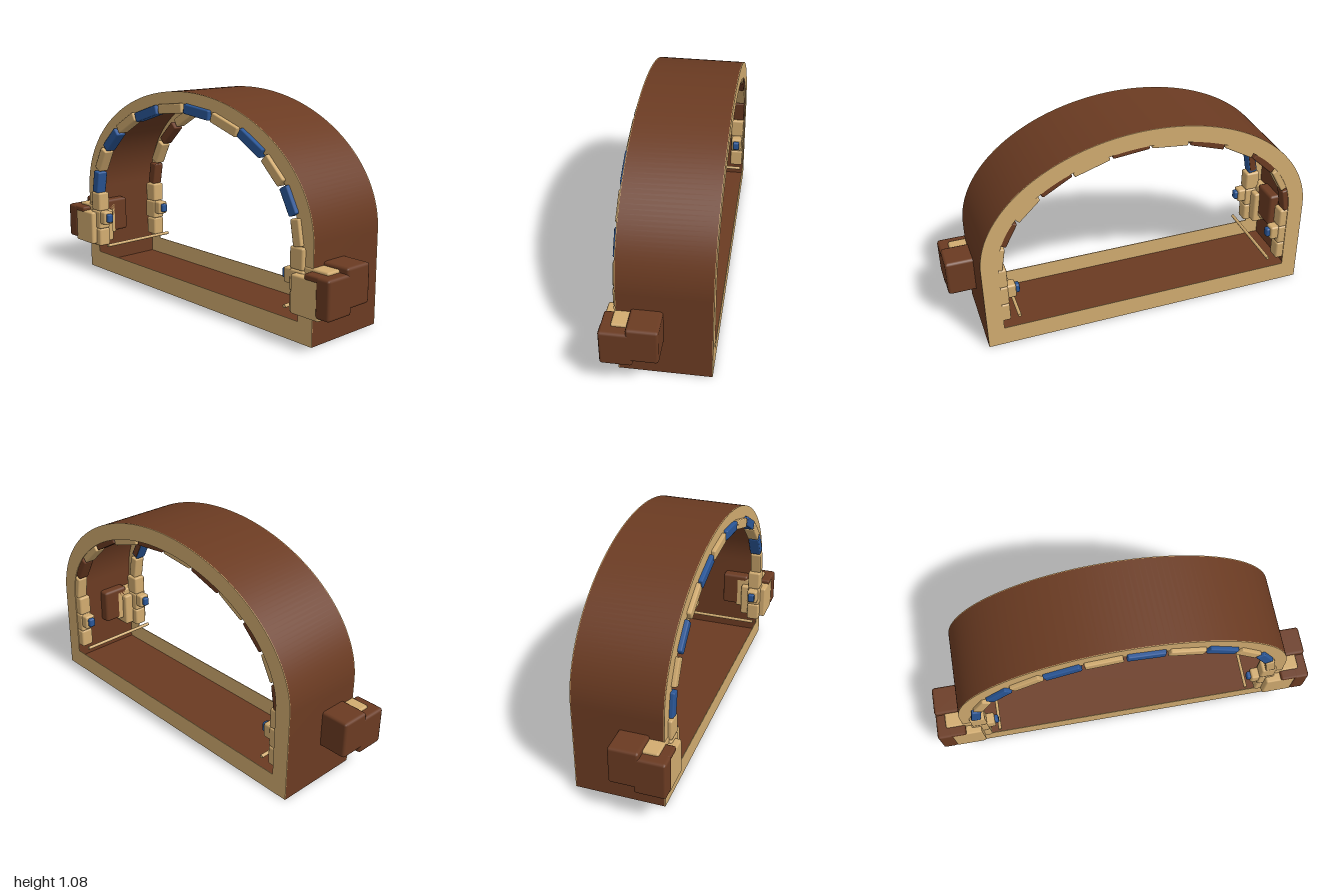
import * as THREE from 'three';
import { toCreasedNormals } from 'three/addons/utils/BufferGeometryUtils.js';
import { RoundedBoxGeometry } from 'three/addons/geometries/RoundedBoxGeometry.js';

const mat = (name, color) => {
  const m = new THREE.MeshStandardMaterial({ color });
  m.name = name;
  return m;
};

// Arched outline: flat base, straight sides and a half-ellipse top
const SPRING = 0.465;
function archPath(Type, inset, base) {
  const rx = 0.86 - inset, ry = 0.61 - inset, p = new Type();
  p.moveTo(-rx, base);
  p.lineTo(rx, base);
  p.lineTo(rx, SPRING);
  p.absellipse(0, SPRING, rx, ry, 0, Math.PI, false, 0);
  p.lineTo(-rx, base);
  return p;
}

function archBand(inset, base, depth) {
  const shape = archPath(THREE.Shape, 0, 0);
  shape.holes.push(archPath(THREE.Path, inset, base));
  const g = new THREE.ExtrudeGeometry(shape, { depth, bevelEnabled: false, curveSegments: 48 });
  return toCreasedNormals(g, 0.5);
}

export function createModel() {
  const model = new THREE.Group();
  model.name = 'archway';
  const tan = mat('sandstone', 0xd2ac70);
  const brown = mat('brown', 0x6b3b22);
  const blue = mat('blue', 0x2a5798);

  const add = (name, geo, m, x, y, z, parent = model) => {
    const mesh = new THREE.Mesh(geo, m);
    mesh.name = name;
    mesh.position.set(x, y, z);
    parent.add(mesh);
    return mesh;
  };
  // Softened block given by its two corners
  const block = (name, m, [x0, x1], [y0, y1], [z0, z1], parent, r = 0.01) =>
    add(name, new RoundedBoxGeometry(x1 - x0, y1 - y0, z1 - z0, 1, r), m,
      (x0 + x1) / 2, (y0 + y1) / 2, (z0 + z1) / 2, parent);

  // Hollow shell with a flat rim at each end
  add('shell', archBand(0.008, 0.008, 0.442), brown, 0, 0, -0.246);
  add('frontRim', archBand(0.085, 0.1, 0.004), tan, 0, 0, 0.196);
  add('backRim', archBand(0.085, 0.1, 0.004), tan, 0, 0, -0.25);

  // Arch stones on the right half, mirrored: x, y, tilt in degrees, length
  const stones = [
    [0.1, 0.985, -6, 0.185], [0.297, 0.943, -18, 0.185], [0.473, 0.877, -30, 0.17],
    [0.617, 0.77, -44, 0.15], [0.717, 0.647, -62, 0.135], [0.768, 0.512, -80, 0.125],
  ];
  for (const front of [true, false]) {
    const row = new THREE.Group();
    row.name = front ? 'frontStones' : 'backStones';
    model.add(row);
    const z = front ? 0.19 : -0.215;
    for (const side of [1, -1]) {
      stones.forEach(([x, y, tilt, len], i) => {
        const accent = (i % 2 === 0) === (side === 1);
        const geo = new RoundedBoxGeometry(len, 0.05, 0.06, 1, 0.007);
        const s = add('archStone', geo, accent ? (front ? blue : brown) : tan, side * x, y, z, row);
        s.rotation.z = side * THREE.MathUtils.degToRad(tilt);
        // Brown backing behind the blue stones
        if (accent && front) {
          add('stoneBacking', new THREE.BoxGeometry(len - 0.03, 0.034, 0.004), brown, 0, 0, -0.031, s);
        }
      });
    }
  }

  // Each side: pillars, gem knobs, sill rod and outer bracket
  for (const side of [1, -1]) {
    const half = new THREE.Group();
    half.name = side > 0 ? 'leftSide' : 'rightSide';
    model.add(half);
    const sx = (a, b) => (side > 0 ? [a, b] : [-b, -a]);

    for (const front of [true, false]) {
      const z = front ? [0.15, 0.22] : [-0.245, -0.175];
      const mid = (z[0] + z[1]) / 2;
      block('pillarTop', tan, sx(0.735, 0.815), [0.345, 0.45], z, half);
      block('pillarMiddle', tan, sx(0.735, 0.82), [0.24, 0.345], z, half);
      block('pillarFoot', tan, sx(0.735, 0.81), [0.14, 0.24], z, half);
      block('knob', tan, sx(0.695, 0.745), [0.27, 0.345], [mid - 0.03, mid + 0.03], half);
      block('gem', blue, sx(0.675, 0.705), [0.285, 0.333], [mid - 0.018, mid + 0.018], half, 0.008);
    }

    const rod = add('sillRod', new THREE.CylinderGeometry(0.009, 0.009, 0.44, 8), tan, side * 0.69, 0.15, -0.02, half);
    rod.rotation.x = Math.PI / 2;

    block('bracketCore', tan, sx(0.8, 0.95), [0.185, 0.368], [0.06, 0.205], half);
    block('bracketFace', tan, sx(0.77, 0.935), [0.15, 0.335], [0.1, 0.25], half);
    block('bracketFrontCheek', brown, sx(0.92, 1), [0.165, 0.355], [0.1, 0.255], half, 0.014);
    block('bracketRearBlock', brown, sx(0.8, 1), [0.195, 0.385], [-0.02, 0.13], half, 0.014);
    block('bracketCap', brown, sx(0.85, 0.94), [0.325, 0.355], [0.195, 0.252], half);
  }
  return model;
}
